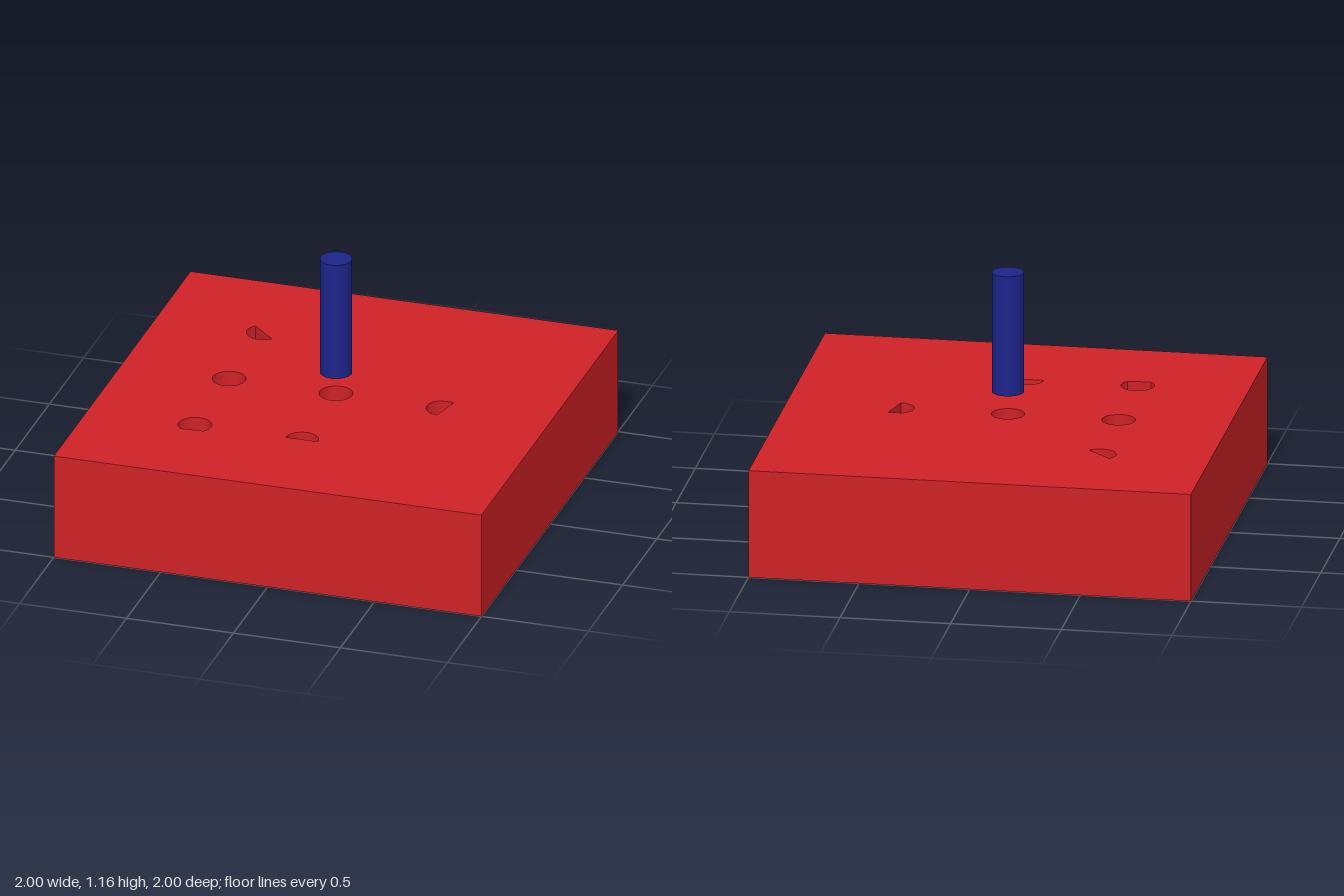
import * as THREE from 'three';
import { toCreasedNormals } from 'three/addons/utils/BufferGeometryUtils.js';

const SIZE = 2, HEIGHT = 0.5, DEPTH = 0.4, RADIUS = 0.075;

// Each hole: centre x, centre z, then arc angles in degrees (seen from above);
// the arc is closed by a straight chord. An optional lone corner angle comes last.
const HOLES = [
  [0, 0, 0, 360],
  [-0.5, 0, 0, 360],
  [-0.5, 0.5, -42, 229],
  [0, 0.5, 0, 180],
  [0.5, 0, 116, 268, 67],
  [-0.5, -0.5, 136, 318],
  [0.5, 0.5, 167, 174],
];

function holeOutline([x, z, from, to, corner]) {
  const steps = Math.max(2, Math.round((to - from) / 10));
  const angles = [];
  if (corner !== undefined) angles.push(corner);
  const count = to - from === 360 ? steps : steps + 1;
  for (let i = 0; i < count; i++) angles.push(from + ((to - from) * i) / steps);
  return angles.map((deg) => {
    const a = THREE.MathUtils.degToRad(deg);
    return new THREE.Vector2(x + RADIUS * Math.cos(a), -z + RADIUS * Math.sin(a));
  });
}

// Inward-facing wall running down from the rim of a hole
function wallGeometry(points) {
  const pos = [];
  const top = HEIGHT, low = HEIGHT - DEPTH;
  points.forEach((a, i) => {
    const b = points[(i + 1) % points.length];
    pos.push(a.x, a.y, low, b.x, b.y, top, b.x, b.y, low);
    pos.push(a.x, a.y, low, a.x, a.y, top, b.x, b.y, top);
  });
  const g = new THREE.BufferGeometry();
  g.setAttribute('position', new THREE.Float32BufferAttribute(pos, 3));
  return toCreasedNormals(g, 0.6).rotateX(-Math.PI / 2);
}

export function createModel() {
  const model = new THREE.Group();
  const red = new THREE.MeshStandardMaterial({ color: 0xcf2226 });
  const blue = new THREE.MeshStandardMaterial({ color: 0x1c2488 });

  const add = (parent, name, geometry, material) => {
    const mesh = new THREE.Mesh(geometry, material);
    mesh.name = name;
    parent.add(mesh);
    return mesh;
  };

  const block = new THREE.Group();
  block.name = 'block';
  model.add(block);

  // Sides and underside: a box with its upper face left out
  const box = new THREE.BoxGeometry(SIZE, HEIGHT, SIZE).translate(0, HEIGHT / 2, 0);
  const index = Array.from(box.index.array);
  index.splice(12, 6);
  box.setIndex(index);
  box.clearGroups();
  add(block, 'blockSides', box, red);

  // Top face pierced by the holes
  const h = SIZE / 2;
  const face = new THREE.Shape([
    new THREE.Vector2(-h, -h), new THREE.Vector2(h, -h),
    new THREE.Vector2(h, h), new THREE.Vector2(-h, h),
  ]);
  const outlines = HOLES.map(holeOutline);
  outlines.forEach((points) => face.holes.push(new THREE.Path(points)));
  add(block, 'blockTop', new THREE.ShapeGeometry(face).rotateX(-Math.PI / 2).translate(0, HEIGHT, 0), red);

  // Blind holes: wall and floor
  outlines.forEach((points, i) => {
    const hole = new THREE.Group();
    hole.name = `hole${i + 1}`;
    block.add(hole);
    add(hole, 'holeWall', wallGeometry(points), red);
    const floor = new THREE.ShapeGeometry(new THREE.Shape(points)).rotateX(-Math.PI / 2);
    add(hole, 'holeFloor', floor.translate(0, HEIGHT - DEPTH, 0), red);
  });

  // Peg hovering over the middle hole
  add(model, 'peg', new THREE.CylinderGeometry(0.072, 0.072, 0.56, 36), blue).position.y = 0.885;

  return model;
}
